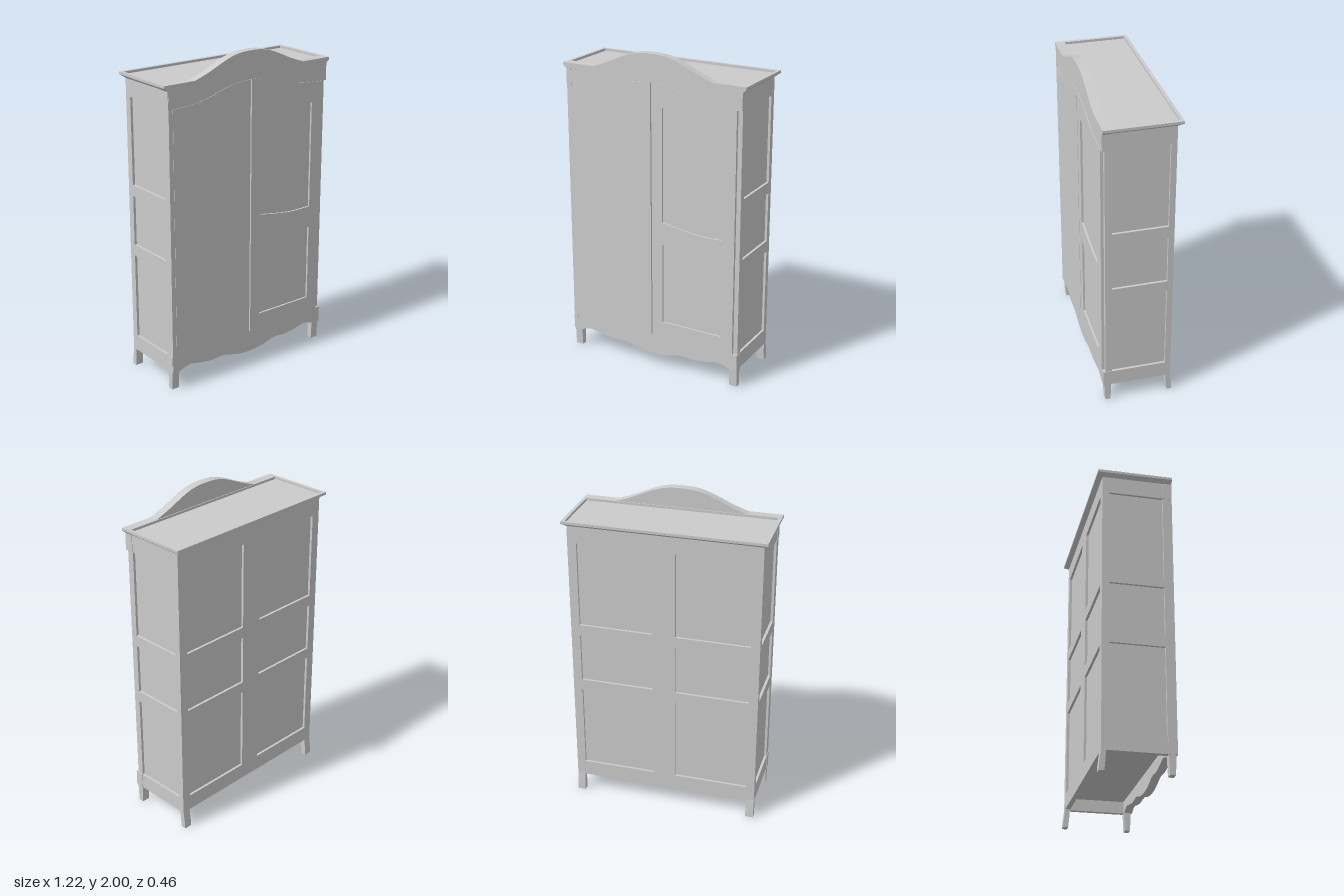
import * as THREE from 'three';
import { toCreasedNormals } from 'three/addons/utils/BufferGeometryUtils.js';

const material = new THREE.MeshStandardMaterial({ color: 0xcccccc });

export function createModel() {
  const group = new THREE.Group();

  const add = (name, geometry, parent = group) => {
    const mesh = new THREE.Mesh(geometry, material);
    mesh.name = name;
    parent.add(mesh);
    return mesh;
  };
  // box given by its limits on each axis
  const box = (name, x0, x1, y0, y1, z0, z1) => add(name,
    new THREE.BoxGeometry(x1 - x0, y1 - y0, z1 - z0)
      .translate((x0 + x1) / 2, (y0 + y1) / 2, (z0 + z1) / 2));
  // board cut from an outline, between two depths
  const board = (shape, z0, z1) => toCreasedNormals(
    new THREE.ExtrudeGeometry(shape, { depth: z1 - z0, bevelEnabled: false }).translate(0, 0, z0), 0.5);
  const vec = ([x, y]) => new THREE.Vector2(x, y);
  // smooth curve through a few points
  const curve = (points) => new THREE.SplineCurve(points.map(vec)).getPoints(points.length * 6);
  // the full symmetric run of points from its right half (ending at x = 0)
  const mirrored = (half) => [...half, ...half.slice(0, -1).reverse().map(([x, y]) => [-x, y])];
  const rect = (x0, x1, y0, y1) => [[x0, y0], [x1, y0], [x1, y1], [x0, y1]].map(vec);
  const flip = (points, s) => points.map((p) => new THREE.Vector2(p.x * s, p.y));

  // rows of recessed panels shared by the sides and the back
  const rows = [[0.215, 0.755], [0.825, 1.135], [1.205, 1.74]];
  const panelFrame = (halfWidth, columns) => {
    const shape = new THREE.Shape(rect(-halfWidth, halfWidth, 0.115, 1.85));
    for (const [a, b] of columns)
      for (const [y0, y1] of rows) shape.holes.push(new THREE.Path(rect(a, b, y0, y1)));
    return shape;
  };

  // sides
  for (const s of [1, -1]) {
    const name = s > 0 ? 'left' : 'right';
    const frame = add(name + 'SideFrame', board(panelFrame(0.205, [[-0.178, 0.17]]), 0, 0.03));
    frame.rotation.y = s * Math.PI / 2;
    frame.position.set(s * 0.555, 0, 0.005);
    if (s < 0) frame.geometry.scale(1, 1, 1);
    // keep the panel openings at the same depth on both sides
    frame.geometry.translate(s > 0 ? 0 : 0.008, 0, 0);
    frame.position.z = s > 0 ? 0.005 : 0.013;
    const x = s * 0.5625;
    box(name + 'SidePanel', x - 0.007, x + 0.007, 0.2, 1.76, -0.19, 0.19);
  }

  // back
  add('backFrame', board(panelFrame(0.585, [[-0.53, -0.07], [0.07, 0.53]]), -0.2, -0.17));
  box('backPanel', -0.56, 0.56, 0.2, 1.76, -0.185, -0.172);

  // floor, raised above the lower edge of the carcass
  box('floor', -0.56, 0.56, 0.19, 0.21, -0.18, 0.19);

  // recessed front corner posts
  for (const s of [1, -1])
    box('cornerPost', Math.min(s * 0.54, s * 0.585), Math.max(s * 0.54, s * 0.585), 0.2, 1.76, 0.17, 0.21);

  // arched crest and frieze in one board, with the cornice profile on its ends
  const crestArch = curve(mirrored([[0.4, 1.88], [0.31, 1.912], [0.175, 1.97], [0.09, 1.994], [0, 2]]));
  const doorArchHalf = curve([[0.557, 1.74], [0.4, 1.75], [0.3, 1.772], [0.18, 1.808], [0.09, 1.825], [0, 1.83]]);
  const doorArch = [...flip(doorArchHalf, -1), ...doorArchHalf.slice(0, -1).reverse()];
  add('crestBoard', board(new THREE.Shape([
    ...[[0.588, 1.74], [0.588, 1.845], [0.61, 1.865], [0.61, 1.88]].map(vec),
    ...crestArch,
    ...[[-0.61, 1.88], [-0.61, 1.865], [-0.588, 1.845], [-0.588, 1.74]].map(vec),
    ...doorArch,
  ]), 0.172, 0.225));

  // scalloped apron
  const scallop = curve(mirrored([[0.535, 0.115], [0.46, 0.136], [0.38, 0.122], [0.3, 0.111],
    [0.2, 0.114], [0.1, 0.09], [0, 0.08]]));
  add('apron', board(new THREE.Shape([
    ...[[-0.588, 0.115], [-0.588, 0.217], [0.588, 0.217], [0.588, 0.115]].map(vec), ...scallop,
  ]), 0.175, 0.225));

  // doors with curved panel openings
  for (const s of [1, -1]) {
    const outline = [...doorArchHalf.map((p) => new THREE.Vector2(Math.max(p.x, 0.004), p.y)),
      ...[[0.004, 0.217], [0.557, 0.217]].map(vec)];
    const upper = [...curve([[0.475, 1.615], [0.31, 1.632], [0.17, 1.677], [0.075, 1.692]]),
      ...curve([[0.075, 0.98], [0.18, 0.962], [0.32, 0.944], [0.475, 0.944]])];
    const lower = [...curve([[0.475, 0.805], [0.31, 0.813], [0.17, 0.832], [0.075, 0.838]]),
      ...[[0.075, 0.318], [0.475, 0.318]].map(vec)];
    const shape = new THREE.Shape(flip(outline, s));
    shape.holes.push(new THREE.Path(flip(upper, s)), new THREE.Path(flip(lower, s)));
    add(s > 0 ? 'leftDoor' : 'rightDoor', board(shape, 0.195, 0.228));
  }
  box('doorPanels', -0.55, 0.55, 0.2, 1.83, 0.19, 0.216);

  // cornice: sloped moulding under a flat rim
  const moulding = new THREE.BoxGeometry(1.22, 0.02, 0.41).toNonIndexed();
  const p = moulding.attributes.position;
  for (let i = 0; i < p.count; i++) {
    const low = p.getY(i) < 0;
    const x = Math.sign(p.getX(i)) * (low ? 0.585 : 0.61);
    const z = p.getZ(i) > 0 ? 0.18 : (low ? -0.2 : -0.23);
    p.setXYZ(i, x, low ? 1.845 : 1.865, z);
  }
  moulding.computeVertexNormals();
  add('corniceMoulding', moulding);

  const rim = new THREE.Shape(rect(-0.61, 0.61, -0.18, 0.23));
  rim.holes.push(new THREE.Path(rect(-0.59, 0.59, -0.167, 0.21)));
  const rimMesh = add('corniceRim', board(rim, 0, 0.016));
  rimMesh.rotation.x = -Math.PI / 2;
  rimMesh.position.y = 1.864;

  // legs: profile in depth and height, drawn across the width
  const legs = {
    frontLeg: [[0.217, 0.12], [0.212, 0], [0.18, 0], [0.175, 0.12]],
    backLeg: [[-0.172, 0.12], [-0.175, 0.06], [-0.181, 0], [-0.212, 0], [-0.21, 0.04], [-0.2, 0.12]],
  };
  for (const [name, profile] of Object.entries(legs))
    for (const s of [1, -1]) {
      const leg = add(name, board(new THREE.Shape(profile.map(([z, y]) => vec([-z, y]))), -0.025, 0.025));
      leg.rotation.y = Math.PI / 2;
      leg.position.x = s * 0.56;
    }

  return group;
}
